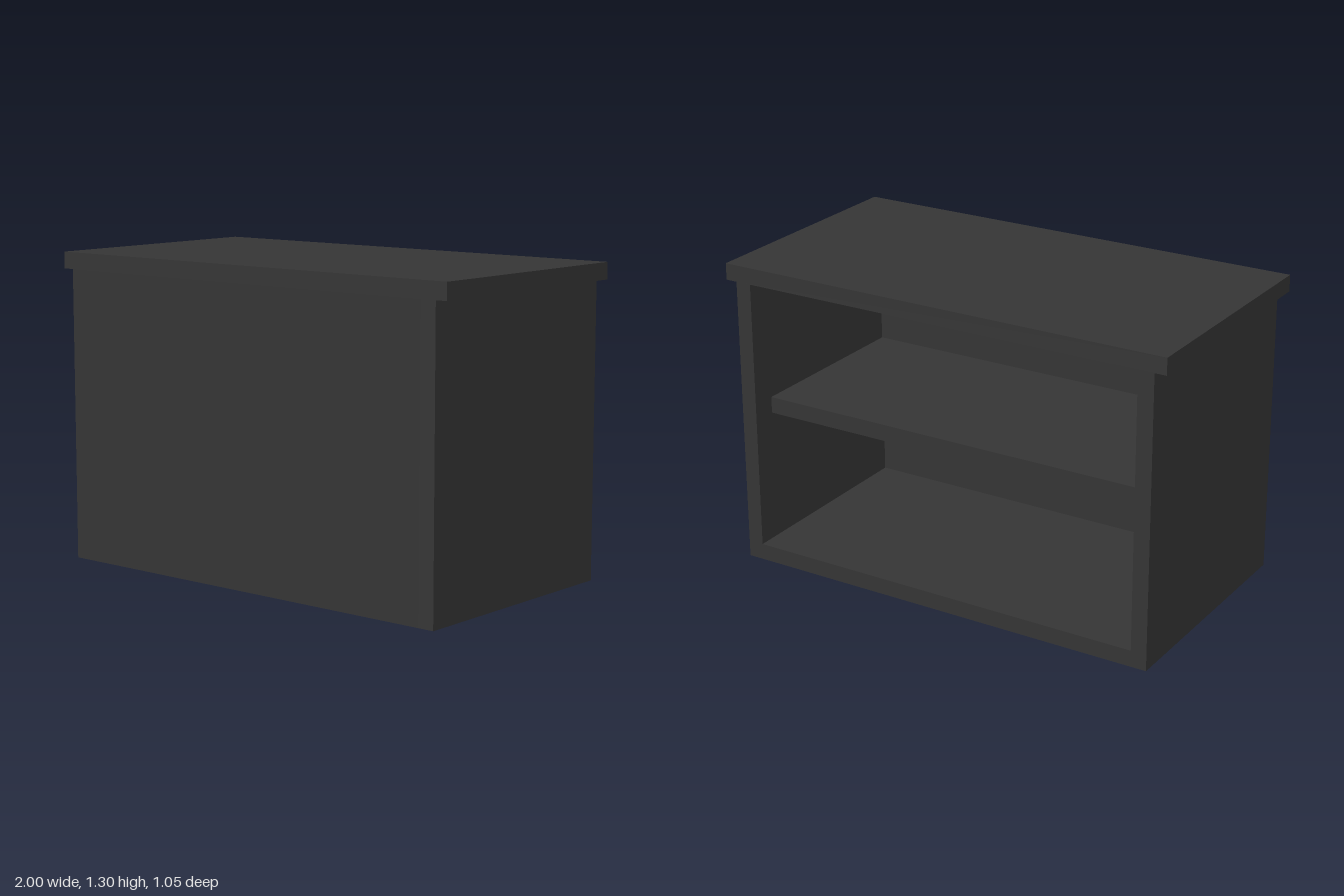
import * as THREE from 'three';

export function createModel() {
  const model = new THREE.Group();
  model.name = 'counter';

  const charcoal = new THREE.MeshStandardMaterial({ color: 0x353535 });
  charcoal.name = 'charcoal';

  // Box panel given by its [min, max] extent on each axis
  function panel(name, [x0, x1], [y0, y1], [z0, z1]) {
    const mesh = new THREE.Mesh(new THREE.BoxGeometry(x1 - x0, y1 - y0, z1 - z0), charcoal);
    mesh.position.set((x0 + x1) / 2, (y0 + y1) / 2, (z0 + z1) / 2);
    mesh.name = name;
    model.add(mesh);
  }

  const half = 0.95, depth = 0.527, board = 0.068;
  const underTop = 1.23, height = 1.3;
  const inner = half - board;
  const frontInner = 0.39; // inside face of the thick front

  // Overhanging worktop
  panel('worktop', [-1, 1], [underTop, height], [-depth, depth]);

  // Side walls
  panel('leftSide', [inner, half], [0, underTop], [-depth, depth]);
  panel('rightSide', [-half, -inner], [0, underTop], [-depth, depth]);

  // Closed front and floor; the back stays open
  panel('frontPanel', [-inner, inner], [0, underTop], [frontInner, depth]);
  panel('floor', [-inner, inner], [0, 0.07], [-depth, frontInner]);

  // Shelf, set in from the open back
  panel('shelf', [-inner, inner], [0.635, 0.705], [-0.422, frontInner]);

  return model;
}
